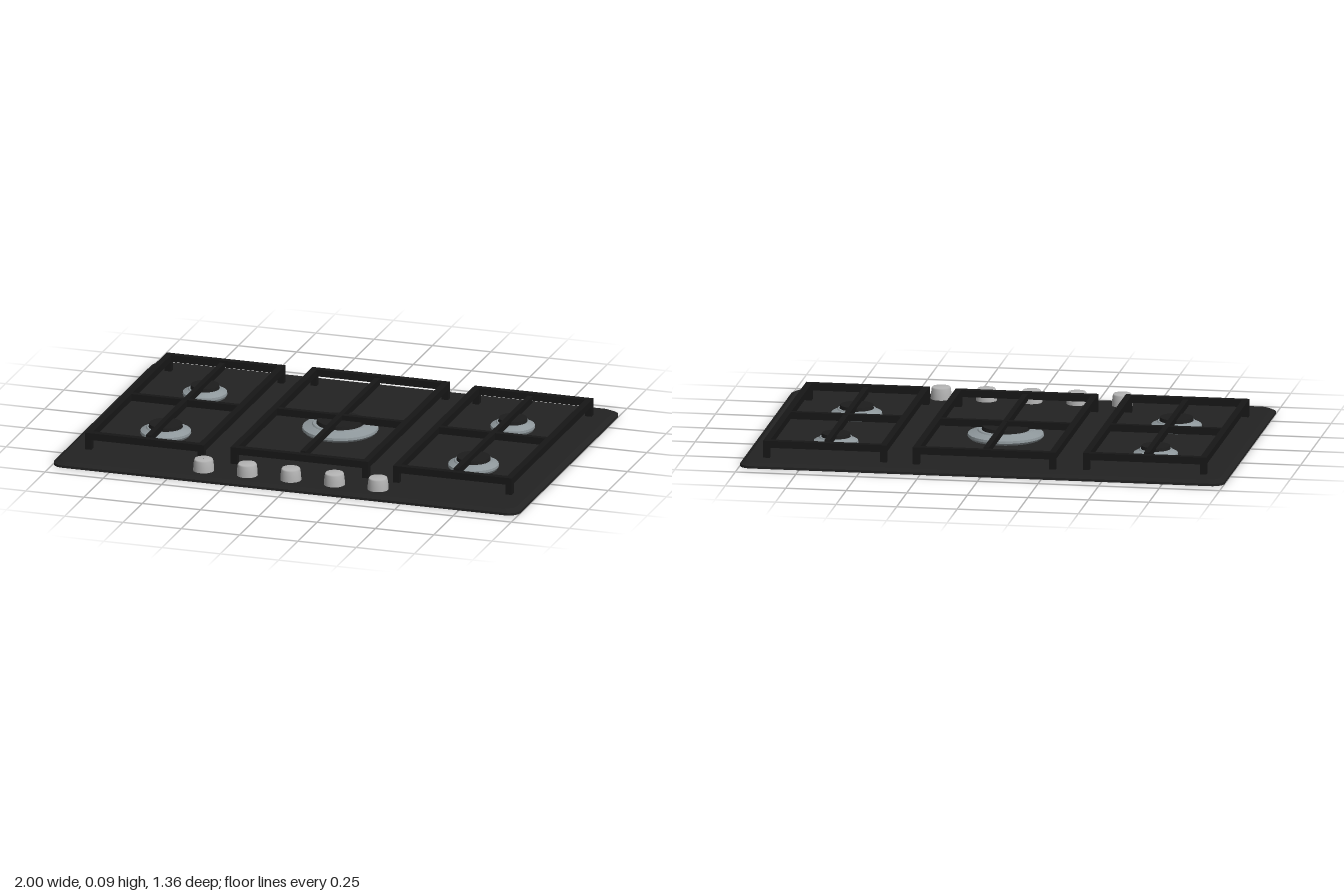
import * as THREE from 'three';

const mat = (name, color) => {
  const m = new THREE.MeshStandardMaterial({ color });
  m.name = name;
  return m;
};

export function createModel() {
  const black = mat('black glass', 0x222222);
  const iron = mat('cast iron', 0x171717);
  const capBlack = mat('burner cap black', 0x1d1d1d);
  const steel = mat('burner steel', 0x8f989c);
  const silver = mat('knob silver', 0xb4b4b4);

  const root = new THREE.Group();
  root.name = 'cooktop';

  const add = (parent, name, geometry, material, x = 0, y = 0, z = 0) => {
    const mesh = new THREE.Mesh(geometry, material);
    mesh.name = name;
    mesh.position.set(x, y, z);
    parent.add(mesh);
    return mesh;
  };
  const group = (name, x, z) => {
    const g = new THREE.Group();
    g.name = name;
    g.position.set(x, 0, z);
    root.add(g);
    return g;
  };

  // Base plate: rounded slab whose top face is drawn in to form a sloping rim
  const w = 1, d = 0.678, r = 0.05, rim = 0.01, top = 0.022;
  const outline = new THREE.Shape();
  outline.moveTo(-w + r, -d);
  outline.lineTo(w - r, -d);
  outline.absarc(w - r, -d + r, r, -Math.PI / 2, 0);
  outline.absarc(w - r, d - r, r, 0, Math.PI / 2);
  outline.absarc(-w + r, d - r, r, Math.PI / 2, Math.PI);
  outline.absarc(-w + r, -d + r, r, Math.PI, Math.PI * 1.5);
  const slab = (y0, y1, inset) => {
    const g = new THREE.ExtrudeGeometry(outline, { depth: y1 - y0, bevelEnabled: false, curveSegments: 8 });
    g.rotateX(-Math.PI / 2);
    const p = g.attributes.position;
    for (let i = 0; i < p.count; i++) {
      if (p.getY(i) < (y1 - y0) / 2) continue;
      p.setX(i, p.getX(i) * (1 - inset / w));
      p.setZ(i, p.getZ(i) * (1 - inset / d));
    }
    g.computeVertexNormals();
    return g.translate(0, y0, 0);
  };
  add(root, 'plateEdge', slab(0, rim, 0), black);
  add(root, 'plateTop', slab(rim, top, 0.02), black);

  // Pan supports: rectangular frame, corner legs and a cross
  const bar = 0.027, barLow = 0.064, barTop = 0.093, barH = barTop - barLow;
  const barY = (barLow + barTop) / 2;
  const grate = (name, x, z, halfW, halfD, crossD) => {
    const g = group(name, x, z);
    for (const s of [-1, 1]) {
      add(g, 'sideBar', new THREE.BoxGeometry(bar, barH, halfD * 2), iron, s * (halfW - bar / 2), barY, 0);
      add(g, 'endBar', new THREE.BoxGeometry(halfW * 2 - bar * 2, barH, bar), iron, 0, barY, s * (halfD - bar / 2));
      for (const t of [-1, 1]) {
        add(g, 'leg', new THREE.BoxGeometry(bar, barLow - top, bar), iron,
          s * (halfW - bar / 2), (barLow + top) / 2, t * (halfD - bar / 2));
      }
    }
    add(g, 'crossBar', new THREE.BoxGeometry(halfW * 2 - bar * 2, barH, 0.022), iron, 0, barY, 0);
    add(g, 'longBar', new THREE.BoxGeometry(0.022, barH - 0.001, crossD * 2), iron, 0, barY, 0);
  };
  grate('rightGrate', -0.66, -0.042, 0.255, 0.53, 0.478);
  grate('centreGrate', 0, -0.056, 0.295, 0.53, 0.482);
  grate('leftGrate', 0.66, -0.042, 0.255, 0.53, 0.478);

  // Burners: sloping steel ring, inner crown and dark cap
  const burner = (name, x, z, R, capR) => {
    const g = group(name, x, z);
    const step = capR + (R - capR) * 0.3;
    const profile = [[R * 0.94, top], [R, 0.032], [R * 0.99, 0.042], [step, 0.053], [step - 0.004, 0.058], [0.001, 0.058]]
      .map(([a, b]) => new THREE.Vector2(a, b));
    const ring = new THREE.LatheGeometry(profile, 40).toNonIndexed();
    ring.computeVertexNormals();
    add(g, 'burnerRing', ring, steel);
    add(g, 'burnerCap', new THREE.CylinderGeometry(capR * 0.96, capR, 0.014, 40), capBlack, 0, 0.065, 0);
  };
  for (const s of [-1, 1]) {
    burner('rearBurner', s * 0.66, -0.297, 0.091, 0.06);
    burner('frontBurner', s * 0.66, 0.212, 0.104, 0.07);
  }
  burner('centreBurner', 0, -0.056, 0.156, 0.098);

  // Control knobs: gently tapered with a softened top edge
  const knobProfile = [[0.043, 0], [0.042, 0.022], [0.039, 0.044], [0.036, 0.05], [0.001, 0.051]]
    .map(([a, b]) => new THREE.Vector2(a, b));
  const knobShape = new THREE.LatheGeometry(knobProfile, 28);
  for (let i = -2; i <= 2; i++) add(root, 'knob', knobShape, silver, i * 0.187, top, 0.585);

  return root;
}
